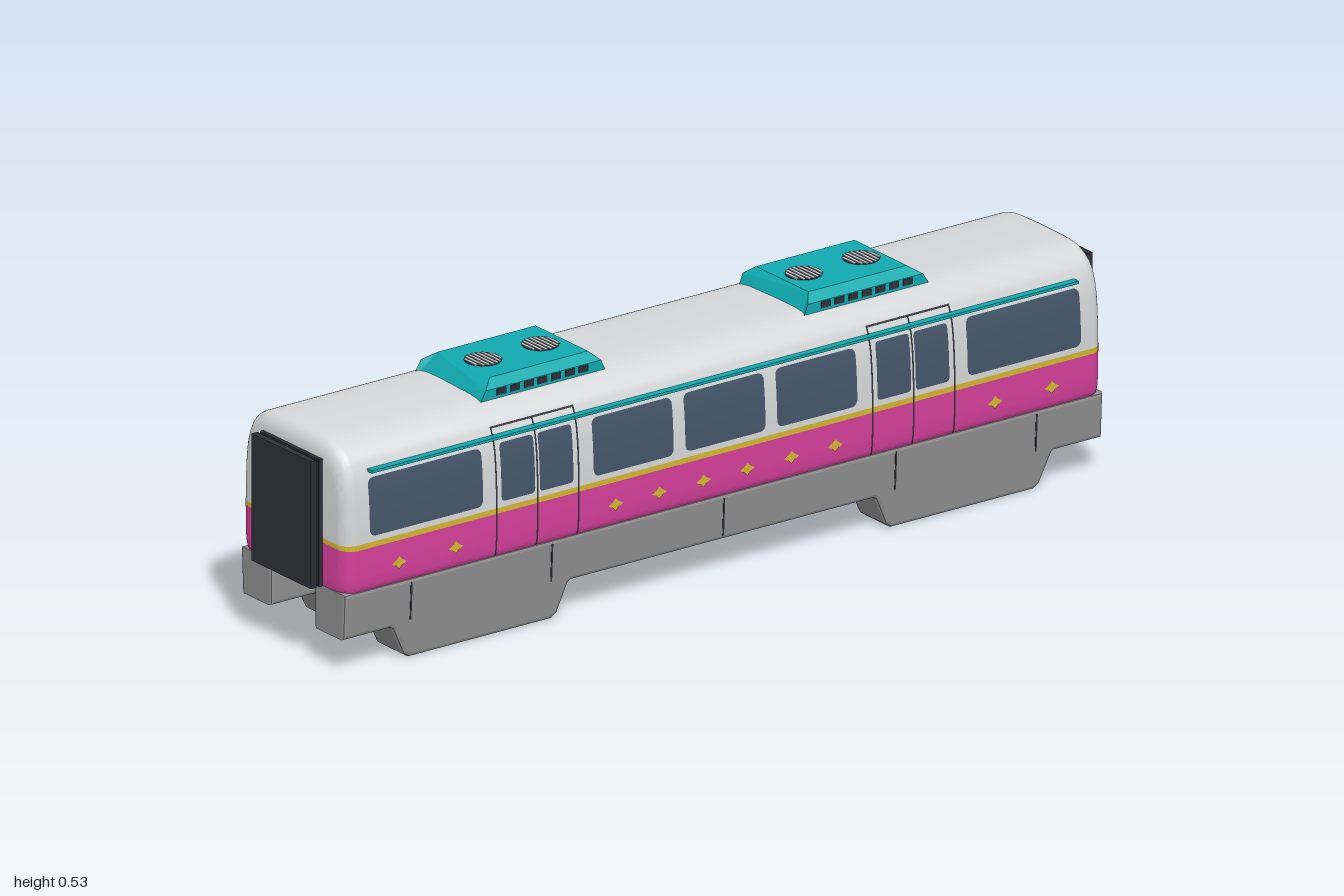
import * as THREE from 'three';
import { toCreasedNormals } from 'three/addons/utils/BufferGeometryUtils.js';

const mat = (name, color, side = THREE.FrontSide) => {
  const m = new THREE.MeshStandardMaterial({ color, side });
  m.name = name;
  return m;
};

export function createModel() {
  const white = mat('white paint', 0xd6d7d8);
  const pink = mat('pink paint', 0xd6409c);
  const yellow = mat('yellow trim', 0xd2b62e);
  const teal = mat('teal paint', 0x10a9ae);
  const grey = mat('skirt grey', 0x8e8e8f);
  const dark = mat('dark rubber', 0x2f2f39);
  const glass = mat('window glass', 0x44566a);

  const model = new THREE.Group();
  model.name = 'railCar';
  const add = (parent, name, geo, m, x = 0, y = 0, z = 0) => {
    const mesh = new THREE.Mesh(geo, m);
    mesh.name = name;
    mesh.position.set(x, y, z);
    parent.add(mesh);
    return mesh;
  };
  const box = (parent, name, m, w, h, d, x, y, z) =>
    add(parent, name, new THREE.BoxGeometry(w, h, d), m, x, y, z);

  // Half cross-section of the body, bottom centre to seam and seam to top centre
  const spline = (pts, n) =>
    new THREE.SplineCurve(pts.map(p => new THREE.Vector2(...p))).getPoints(n);
  const LOW = 0.27, HIGH = 0.282, MID = 0.277, HALF = 0.183;
  const lower = spline([[0, 0.149], [0.06, 0.15], [0.13, 0.154], [0.162, 0.162],
    [0.177, 0.178], [0.182, 0.21], [HALF, LOW]], 28);
  const upper = spline([[HALF, HIGH], [0.182, 0.33], [0.178, 0.39], [0.17, 0.432],
    [0.154, 0.465], [0.125, 0.486], [0.085, 0.495], [0, 0.497]], 32);
  const outline = [...lower, ...upper];
  const xAt = y => {
    const i = Math.max(1, outline.findIndex(p => p.y >= y));
    const a = outline[i - 1], b = outline[i];
    return a.x + (b.x - a.x) * (y - a.y) / (b.y - a.y);
  };
  const mirrored = pts => pts.map(p => new THREE.Vector2(-p.x, p.y)).reverse();

  // Sweep one colour band along z, with rounded rims and closed ends
  const R = 0.03, END = 0.97, STEPS = 6;
  const rims = [];
  for (let i = 0; i <= STEPS; i++) {
    const a = (i / STEPS) * Math.PI / 2;
    rims.push([END - R + R * Math.sin(a), R * (1 - Math.cos(a))]);
  }
  const stations = [...rims.map(([z, d]) => [-z, d]).reverse(), ...rims];
  const band = (name, path, m) => {
    const pos = [], idx = [], n = path.length;
    for (const [z, d] of stations)
      for (const p of path)
        pos.push(p.x * (1 - d / HALF), MID + (p.y - MID) * (1 - d / 0.174), z);
    for (let i = 0; i < stations.length - 1; i++)
      for (let j = 0; j < n - 1; j++) {
        const a = i * n + j, b = a + 1, c = b + n, e = a + n;
        idx.push(a, b, c, a, c, e);
      }
    const last = (stations.length - 1) * n;
    for (let j = 1; j < n - 1; j++)
      idx.push(0, j + 1, j, last, last + j, last + j + 1);
    const g = new THREE.BufferGeometry();
    g.setAttribute('position', new THREE.Float32BufferAttribute(pos, 3));
    g.setIndex(idx);
    add(model, name, toCreasedNormals(g, 0.6), m);
  };
  band('lowerBody', [...mirrored(lower), ...lower.slice(1)], pink);
  band('upperBody', [...upper, ...mirrored(upper).slice(1)], white);
  const belt = [new THREE.Vector2(HALF, LOW), new THREE.Vector2(HALF, HIGH)];
  band('beltStripe', [...belt, ...mirrored(belt)], yellow);

  // Thin panel that follows the curved side, with rounded corners of radius r
  const panel = (parent, name, m, z0, z1, y0, y1, r = 0, lift = 0.0015) => {
    const g = new THREE.PlaneGeometry(1, 1, 1, 16), p = g.attributes.position;
    const h = (y1 - y0) / 2, w = Math.abs(z1 - z0) / 2;
    for (let i = 0; i < p.count; i++) {
      const v = Math.sin(p.getY(i) * Math.PI) * h;
      const k = Math.max(0, Math.abs(v) - (h - r));
      const inset = r - Math.sqrt(Math.max(0, r * r - k * k));
      const y = (y0 + y1) / 2 + v;
      p.setXYZ(i, xAt(y) + lift, y, (z0 + z1) / 2 - Math.sign(p.getX(i)) * (w - inset));
    }
    g.computeVertexNormals();
    add(parent, name, g, m);
  };

  // Four-pointed ornament
  const star = new THREE.Shape();
  for (let i = 0; i < 8; i++) {
    const a = i * Math.PI / 4, k = i % 2 ? 0.6 : 1;
    star[i ? 'lineTo' : 'moveTo'](0.019 * k * Math.cos(a), 0.014 * k * Math.sin(a));
  }
  const starGeo = new THREE.ShapeGeometry(star).rotateY(Math.PI / 2);

  // Side skirt outline along the car, dropping around each bogie
  const half = [[0.963, 0.169], [0.963, 0.084], [0.846, 0.084], [0.836, 0.076], [0.808, 0.016],
    [0.796, 0.008], [0.438, 0.008], [0.427, 0.016], [0.401, 0.076], [0.391, 0.084]];
  const skirtShape = new THREE.Shape([...half, ...half.map(([z, y]) => [-z, y]).reverse()]
    .map(p => new THREE.Vector2(...p)));
  const skirtGeo = new THREE.ExtrudeGeometry(skirtShape, {
    depth: 0.09, bevelThickness: 0.008, bevelSize: 0.008, bevelSegments: 2, curveSegments: 4,
  }).rotateY(Math.PI / 2).translate(0.082, 0, 0);
  const sp = skirtGeo.attributes.position;
  for (let i = 0; i < sp.count; i++)
    if (sp.getX(i) > 0.12) sp.setX(i, sp.getX(i) - (0.177 - sp.getY(i)) * 0.05);
  skirtGeo.computeVertexNormals();

  // Everything on one flank; the other flank is the same turned half round
  for (const turn of [0, Math.PI]) {
    const side = new THREE.Group();
    side.name = turn ? 'rightSide' : 'leftSide';
    side.rotation.y = turn;
    model.add(side);

    for (const [c, w] of [[0.765, 0.29], [0.235, 0.205], [0, 0.205], [-0.235, 0.205], [-0.765, 0.29]])
      panel(side, 'window', glass, c - w / 2, c + w / 2, 0.295, 0.421, 0.014);

    for (const c of [0.481, -0.481]) {
      for (const o of [-0.049, 0.049])
        panel(side, 'doorWindow', glass, c + o - 0.043, c + o + 0.043, 0.295, 0.421, 0.008);
      for (const o of [-0.105, 0, 0.105])
        panel(side, 'doorSeam', dark, c + o - 0.002, c + o + 0.002, 0.178, 0.455, 0, 0.002);
      panel(side, 'doorTopSeam', dark, c - 0.107, c + 0.107, 0.452, 0.456, 0, 0.002);
    }

    for (const z of [0.835, 0.69, 0.281, 0.169, 0.056, -0.056, -0.169, -0.281, -0.69, -0.835])
      add(side, 'starOrnament', starGeo, yellow, HALF + 0.0015, 0.221, z);

    box(side, 'gutterRail', teal, 0.024, 0.006, 1.81, 0.172, 0.436, 0);
    add(side, 'skirt', skirtGeo, grey);
    for (const z of [0.8, 0.44, 0, -0.44, -0.8]) {
      const seam = box(side, 'skirtSeam', dark, 0.003, 0.084, 0.004, 0.177, 0.127, z);
      seam.rotation.z = -0.05;
    }
  }

  // Floor between the skirts
  box(model, 'underfloor', grey, 0.17, 0.01, 1.86, 0, 0.152, 0);

  // Roof cooling unit: extruded section with ends raked by height
  const unitShape = new THREE.Shape([[-0.112, 0.47], [0.112, 0.47], [0.112, 0.513],
    [0.09, 0.53], [-0.09, 0.53], [-0.112, 0.513]].map(p => new THREE.Vector2(...p)));
  const unitGeo = new THREE.ExtrudeGeometry(unitShape, { depth: 0.34, bevelEnabled: false });
  const up = unitGeo.attributes.position;
  for (let i = 0; i < up.count; i++) {
    const t = Math.max(0, up.getY(i) - 0.495) / 0.035;
    const z = up.getZ(i);
    up.setZ(i, z > 0.1 ? z - 0.052 * t : z + 0.036 * t);
  }
  unitGeo.translate(0, 0, 0.246);
  unitGeo.computeVertexNormals();
  const fanGeo = new THREE.CylinderGeometry(0.039, 0.039, 0.003, 32);

  for (const turn of [0, Math.PI]) {
    const end = new THREE.Group();
    end.name = turn ? 'rearEnd' : 'frontEnd';
    end.rotation.y = turn;
    model.add(end);

    add(end, 'roofUnit', unitGeo, teal);
    for (const z of [0.337, 0.484]) {
      add(end, 'fan', fanGeo, dark, 0, 0.53, z);
      for (let i = -3; i <= 3; i++) {
        const o = i * 0.0105;
        box(end, 'fanBar', white, 2 * Math.sqrt(0.038 ** 2 - o * o), 0.004, 0.005, 0, 0.5305, z + o);
      }
    }
    for (const x of [-0.112, 0.112])
      for (let i = 0; i < 7; i++)
        box(end, 'ventSlot', dark, 0.003, 0.014, 0.024, x, 0.504, 0.31 + i * 0.035);

    // Gangway bellows and bogie block
    for (const [w, z] of [[0.204, 0.972], [0.196, 0.982], [0.204, 0.993]])
      box(end, 'gangway', dark, w, w + 0.076, 0.014, 0, 0.315, z);
    box(end, 'bogieBlock', dark, 0.086, 0.03, 0.37, 0, 0.145, 0.615);
  }
  return model;
}
